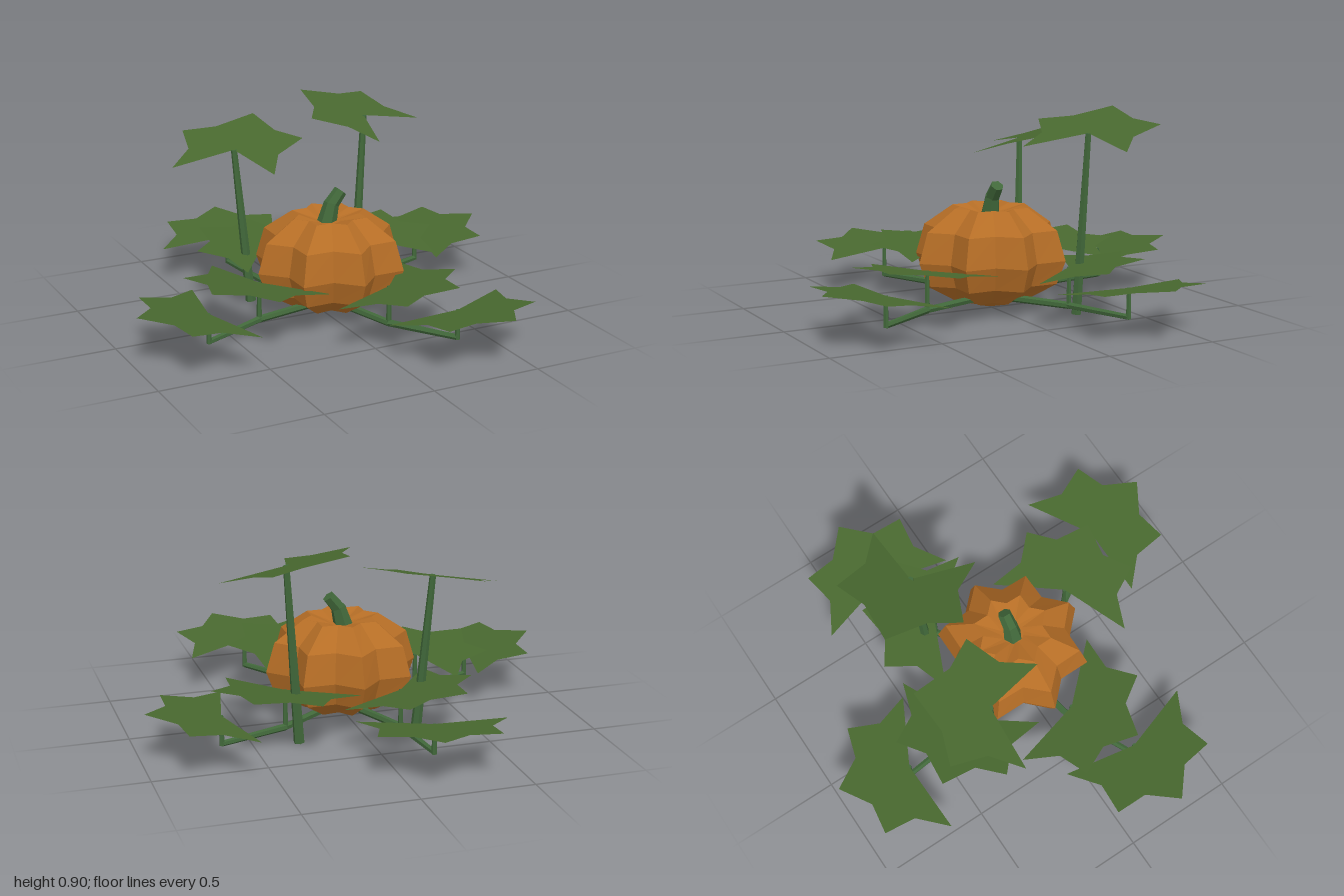
import * as THREE from 'three';

const orange = new THREE.MeshStandardMaterial({ color: 0xb66e26, flatShading: true });
orange.name = 'pumpkinOrange';
const leafGreen = new THREE.MeshStandardMaterial({ color: 0x48682f, flatShading: true, side: THREE.DoubleSide });
leafGreen.name = 'leafGreen';
const stemGreen = new THREE.MeshStandardMaterial({ color: 0x41683a, flatShading: true });
stemGreen.name = 'stemGreen';

const V = (x, y, z) => new THREE.Vector3(x, y, z);

function add(parent, geometry, material, name) {
  const mesh = new THREE.Mesh(geometry, material);
  mesh.name = name;
  parent.add(mesh);
  return mesh;
}

// Tapered six-sided rod between two points
function rod(parent, a, b, r0, r1, name) {
  const dir = b.clone().sub(a);
  const mesh = add(parent, new THREE.CylinderGeometry(r1, r0, dir.length(), 6), stemGreen, name);
  mesh.position.copy(a).add(b).multiplyScalar(0.5);
  mesh.quaternion.setFromUnitVectors(V(0, 1, 0), dir.normalize());
}

// Half outlines (side, along) from the tip back to the notch at the stalk
const WIDE = [[0, 0.335], [0.115, 0.217], [0.26, 0.206], [0.237, 0.058], [0.325, -0.085]];
const ROUND = [[0, 0.335], [0.14, 0.195], [0.285, 0.14], [0.21, -0.015], [0.235, -0.185]];

// Five-pointed leaf; heading is the angle of its tip from +x towards +z
function leaf(parent, half, at, heading, tilt, name) {
  const mirrored = half.slice(1).reverse().map(([s, a]) => [-s, a]);
  const outline = [[0, 0], ...mirrored, ...half].map(([s, a]) => new THREE.Vector2(s, a));
  const geometry = new THREE.ShapeGeometry(new THREE.Shape(outline));
  geometry.rotateX(-Math.PI / 2 + tilt);
  geometry.rotateY(-heading - Math.PI / 2);
  add(parent, geometry, leafGreen, name).position.copy(at);
}

// Ribbed body: star-shaped rings [ridge radius, groove radius, y]
function pumpkinGeometry() {
  const rings = [[0.17, 0.12, 0.05], [0.31, 0.235, 0.13], [0.35, 0.268, 0.235],
    [0.31, 0.24, 0.37], [0.175, 0.135, 0.465], [0.05, 0.05, 0.435]];
  const n = 16, pos = [0, 0.008, 0], index = [];
  for (const [ridge, groove, y] of rings) {
    for (let i = 0; i < n; i++) {
      const t = (i / n) * Math.PI * 2, r = i % 2 ? groove : ridge;
      pos.push(r * Math.cos(t), y, r * Math.sin(t));
    }
  }
  const top = pos.length / 3;
  pos.push(0, 0.435, 0);
  const last = rings.length - 1;
  for (let i = 0; i < n; i++) {
    const j = (i + 1) % n;
    index.push(0, 1 + i, 1 + j);
    for (let k = 0; k < last; k++) {
      const a = 1 + k * n + i, b = 1 + k * n + j;
      index.push(a, a + n, b, b, a + n, b + n);
    }
    index.push(1 + last * n + i, top, 1 + last * n + j);
  }
  const geometry = new THREE.BufferGeometry();
  geometry.setAttribute('position', new THREE.Float32BufferAttribute(pos, 3));
  geometry.setIndex(index);
  geometry.computeVertexNormals();
  return geometry;
}

export function createModel() {
  const model = new THREE.Group();
  model.name = 'pumpkinPlant';

  add(model, pumpkinGeometry(), orange, 'pumpkin').position.set(0.02, 0, 0.02);

  // Bent stem on top of the pumpkin
  const stem = new THREE.Group();
  stem.name = 'pumpkinStem';
  model.add(stem);
  rod(stem, V(0.01, 0.42, 0.015), V(0.035, 0.515, 0.015), 0.045, 0.034, 'stemBase');
  rod(stem, V(0.028, 0.5, 0.015), V(0.08, 0.565, 0.015), 0.034, 0.03, 'stemTip');

  // Ground vines, each with an inner and an outer leaf: [x, z, heading in degrees]
  const vines = [
    { name: 'rightBackVine', inner: [0.343, -0.2, -51.7], outer: [0.655, -0.31, -2] },
    { name: 'backVine', inner: [-0.14, -0.346, -129.4], outer: [-0.176, -0.673, -77] },
    { name: 'leftVine', inner: [-0.36, 0.09, 151], outer: [-0.66, 0.23, 176] },
    { name: 'frontVine', inner: [0.128, 0.385, 53.6], outer: [0.31, 0.665, 75.5] },
  ];
  for (const { name, inner, outer } of vines) {
    const vine = new THREE.Group();
    vine.name = name;
    model.add(vine);
    const a = V(0.02, 0.06, 0.02), b = V(inner[0], 0.053, inner[1]), c = V(outer[0], 0.053, outer[1]);
    rod(vine, a, b, 0.018, 0.016, 'innerRunner');
    rod(vine, b, c, 0.016, 0.013, 'outerRunner');
    for (const [spot, y, part] of [[inner, 0.225, 'inner'], [outer, 0.18, 'outer']]) {
      const top = V(spot[0], y, spot[1]);
      rod(vine, V(spot[0], 0.045, spot[1]), top, 0.012, 0.009, part + 'Stalk');
      leaf(vine, WIDE, top, THREE.MathUtils.degToRad(spot[2]), 0.14, part + 'Leaf');
    }
  }

  // Two tall leaves standing behind the pumpkin
  const tall = [
    { name: 'tallLeafRight', foot: V(-0.24, 0, -0.265), top: V(-0.295, 0.72, -0.305), heading: -50 },
    { name: 'tallLeafLeft', foot: V(0.3, 0, -0.265), top: V(0.355, 0.81, -0.285), heading: -129 },
  ];
  for (const { name, foot, top, heading } of tall) {
    const group = new THREE.Group();
    group.name = name;
    model.add(group);
    rod(group, foot, top, 0.024, 0.014, 'tallStalk');
    leaf(group, ROUND, top, THREE.MathUtils.degToRad(heading), 0.27, 'tallLeaf');
  }
  return model;
}
